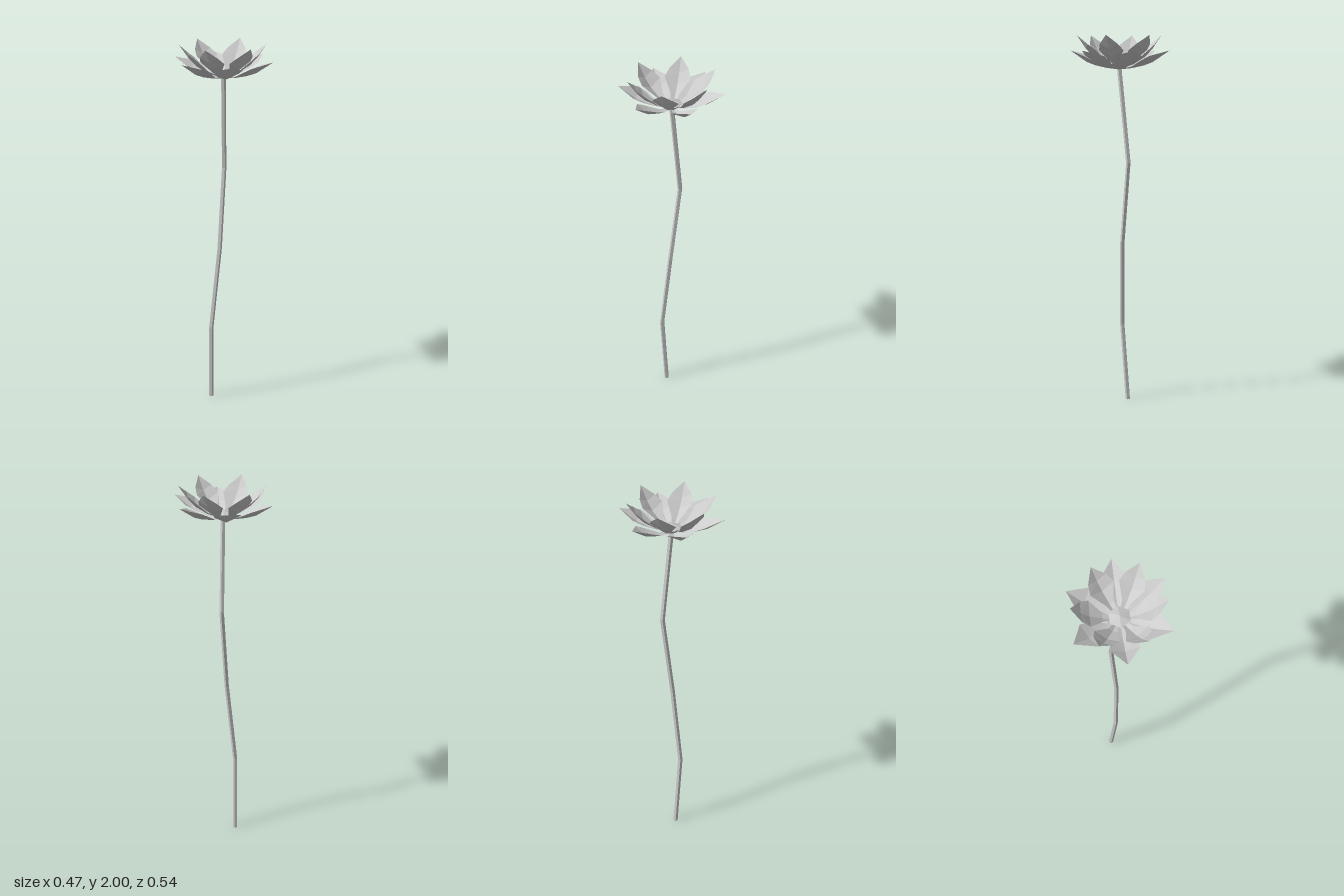
import * as THREE from 'three';

const material = new THREE.MeshStandardMaterial({
  color: 0xcccccc, flatShading: true, side: THREE.DoubleSide,
});

// Keeled petal pointing along +z. Each row: [reach, keel height, half width, edge height].
function petalGeometry(rows, tipReach, tipHeight) {
  const positions = [], index = [];
  for (const [r, y, w, edgeY] of rows) {
    positions.push(-w, edgeY, r, 0, y, r, w, edgeY, r);
  }
  positions.push(0, tipHeight, tipReach);
  const last = rows.length - 1;
  for (let i = 0; i < last; i++) {
    for (let j = 0; j < 2; j++) {
      const a = i * 3 + j, b = a + 1, c = a + 3, d = a + 4;
      // mirrored diagonals on the two halves
      if (j === 0) index.push(a, c, d, a, d, b);
      else index.push(a, c, b, b, c, d);
    }
  }
  const k = last * 3, tip = rows.length * 3;
  index.push(k, tip, k + 1, k + 1, tip, k + 2);
  const geometry = new THREE.BufferGeometry();
  geometry.setAttribute('position', new THREE.Float32BufferAttribute(positions, 3));
  geometry.setIndex(index);
  geometry.computeVertexNormals();
  return geometry;
}

function petalRing(name, geometry, count, offset) {
  const ring = new THREE.Group();
  ring.name = name;
  for (let i = 0; i < count; i++) {
    const petal = new THREE.Mesh(geometry, material);
    petal.name = 'petal';
    petal.rotation.y = offset + (i / count) * Math.PI * 2;
    ring.add(petal);
  }
  return ring;
}

// Slim stem: a cylinder whose rings are moved onto a crooked path.
function stemGeometry() {
  const path = [
    [-0.06, 0, 0.04], [-0.033, 0.43, 0.06], [-0.02, 0.89, 0.01],
    [-0.04, 1.33, -0.038], [0, 1.83, 0],
  ];
  const spans = path.length - 1;
  const geometry = new THREE.CylinderGeometry(0.013, 0.013, spans, 5, spans);
  const p = geometry.attributes.position;
  for (let i = 0; i < p.count; i++) {
    const [x, y, z] = path[Math.round(p.getY(i) + spans / 2)];
    p.setXYZ(i, p.getX(i) + x, y, p.getZ(i) + z);
  }
  geometry.computeVertexNormals();
  return geometry;
}

export function createModel() {
  const model = new THREE.Group();
  model.name = 'flower';

  const stem = new THREE.Mesh(stemGeometry(), material);
  stem.name = 'stem';
  model.add(stem);

  // Wide, low outer petals
  const outer = petalGeometry([
    [0.01, 1.822, 0.008, 1.824],
    [0.07, 1.829, 0.022, 1.836],
    [0.13, 1.842, 0.06, 1.868],
    [0.18, 1.86, 0.07, 1.893],
  ], 0.27, 1.92);
  model.add(petalRing('outerPetals', outer, 6, 0));

  // Steeper inner petals, set between the outer ones
  const inner = petalGeometry([
    [0.01, 1.825, 0.008, 1.828],
    [0.08, 1.85, 0.023, 1.862],
    [0.14, 1.888, 0.066, 1.922],
    [0.18, 1.93, 0.05, 1.953],
  ], 0.228, 2);
  model.add(petalRing('innerPetals', inner, 6, Math.PI / 6 - 0.042));

  // Six-sided seed pod with a shallow peaked cap
  const podProfile = [[0, 1.82], [0.03, 1.826], [0.057, 1.85], [0, 1.868]]
    .map(([r, y]) => new THREE.Vector2(r, y));
  const pod = new THREE.Mesh(new THREE.LatheGeometry(podProfile, 6), material);
  pod.name = 'seedPod';
  model.add(pod);

  return model;
}
